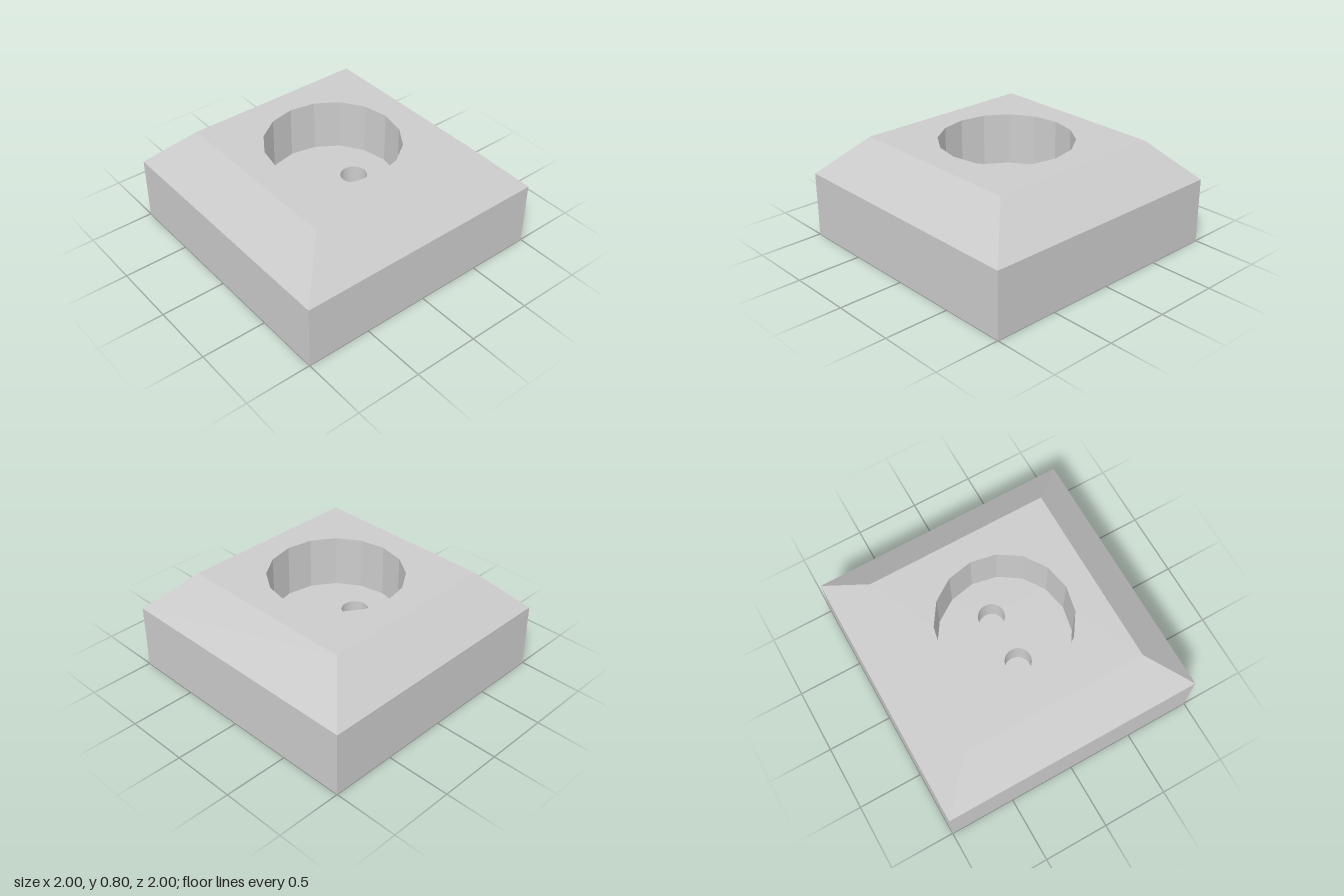
import * as THREE from 'three';

const ROUND = 16, PIN = 32;
const TOP = 0.8, EDGE = 0.5, FLOOR = 0.4, PIN_BOTTOM = 0.2;

// Points of a regular polygon lying in the shape plane
function ngon(radius, sides, cx = 0, cy = 0) {
  return Array.from({ length: sides }, (_, i) => {
    const a = (i / sides) * Math.PI * 2;
    return new THREE.Vector2(cx + radius * Math.cos(a), cy + radius * Math.sin(a));
  });
}

// Flat upward-facing plate with holes, at height y
function plate(outline, holes, y) {
  const shape = new THREE.Shape(outline);
  holes.forEach((h) => shape.holes.push(new THREE.Path(h)));
  return new THREE.ShapeGeometry(shape).rotateX(-Math.PI / 2).translate(0, y, 0);
}

// Open ring of walls between two heights
function walls(rTop, rBottom, yBottom, yTop, sides, start = 0) {
  return new THREE.CylinderGeometry(rTop, rBottom, yTop - yBottom, sides, 1, true, start)
    .translate(0, (yTop + yBottom) / 2, 0);
}

export function createModel() {
  const group = new THREE.Group();
  const outside = new THREE.MeshStandardMaterial({ color: 0xcccccc, flatShading: true });
  const inside = new THREE.MeshStandardMaterial({ color: 0xcccccc, flatShading: true, side: THREE.DoubleSide });
  const add = (name, geometry, material = outside) => {
    const mesh = new THREE.Mesh(geometry, material);
    mesh.name = name;
    group.add(mesh);
    return mesh;
  };

  // Square housing with a chamfered upper half
  const diag = Math.SQRT2;
  add('housingSides', walls(diag, diag, 0, EDGE, 4, Math.PI / 4));
  add('housingChamfer', walls(0.7 * diag, diag, EDGE, TOP, 4, Math.PI / 4));
  add('housingBottom', new THREE.PlaneGeometry(2, 2).rotateX(Math.PI / 2));
  const square = [[-0.7, -0.7], [0.7, -0.7], [0.7, 0.7], [-0.7, 0.7]].map(([x, y]) => new THREE.Vector2(x, y));
  add('housingTop', plate(square, [ngon(0.5, ROUND)], TOP));

  // Round plug recess
  add('recessWall', walls(0.5, 0.5, FLOOR, TOP, ROUND), inside);
  const pinZ = [-0.2, 0.2];
  add('recessFloor', plate(ngon(0.5, ROUND), pinZ.map((z) => ngon(0.1, PIN, 0, -z)), FLOOR));

  // Two contact holes in the recess floor
  pinZ.forEach((z) => {
    add('pinHoleWall', walls(0.1, 0.1, PIN_BOTTOM, FLOOR, PIN), inside).position.z = z;
    add('pinHoleFloor', plate(ngon(0.1, PIN), [], PIN_BOTTOM)).position.z = z;
  });
  return group;
}
